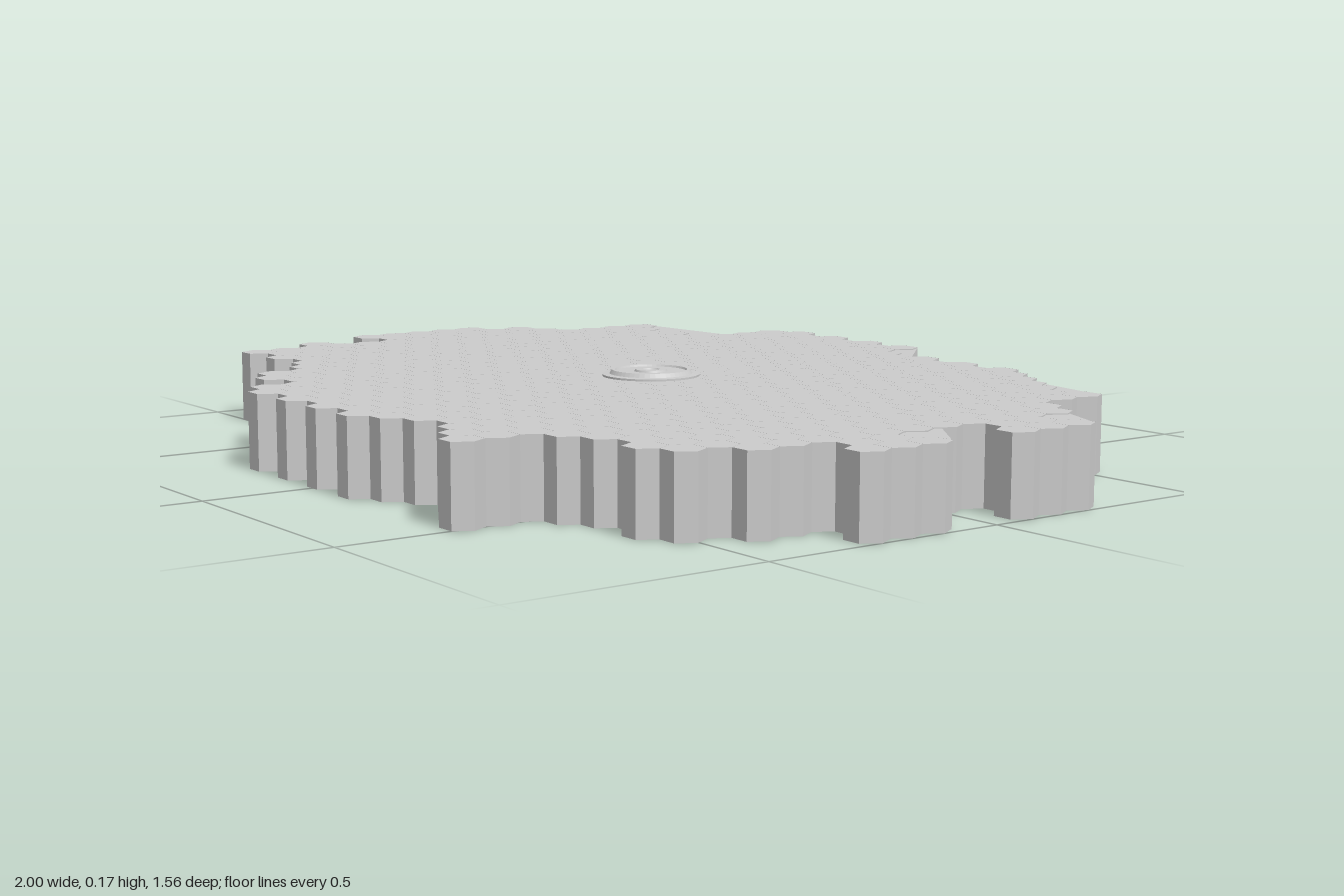
import * as THREE from 'three';
import { mergeGeometries } from 'three/addons/utils/BufferGeometryUtils.js';

const S = 0.04;                       // hexagon side
const Q = S * Math.sqrt(3) / 2;       // half the height of a hexagon
const TOP = 0.152;                    // deck level

// First and last tile centre of each column (in half-rows), columns -16 to 16
const FIRST = [
  -4.5, -7.5, -8.5, -15.5, -14.5, -13.5, -14.5, -13.5, -20.5, -21.5, -20.5,
  -21.5, -20.5, -21.5, -20.5, -21.5, -18.5, -17.5, -18.5, -17.5, -18.5, -17.5,
  -18.5, -17.5, -16.5, -15.5, -14.5, -13.5, -14.5, -9.5, -8.5, -5.5, -6.5];
const LAST = [
  3.5, 8.5, 13.5, 12.5, 13.5, 12.5, 13.5, 14.5, 17.5, 18.5, 17.5,
  20.5, 21.5, 20.5, 21.5, 20.5, 21.5, 20.5, 21.5, 20.5, 19.5, 18.5,
  19.5, 20.5, 21.5, 16.5, 15.5, 14.5, 15.5, 14.5, 11.5, 6.5, 7.5];
// Notches in the outer columns: [column, from, to]
const NOTCHES = [[-15, 3, 8], [15, -3, 4], [16, -2, 3]];

// Flat webs that bridge concave stretches of the rim, as x, z corners
const WEBS = [
  [[-0.8, -0.572], [-0.5, -0.6], [-0.5, -0.45], [-0.76, -0.45]],
  [[-0.04, -0.779], [0.08, -0.65], [-0.04, -0.58]],
  [[0.52, -0.572], [0.74, -0.537], [0.72, -0.44], [0.52, -0.44]],
  [[0.82, -0.329], [0.98, -0.26], [0.92, -0.19], [0.82, -0.25]],
  [[0.86, 0], [0.98, 0.087], [0.94, 0.13], [0.86, 0.17]],
  [[-0.94, 0.294], [-0.87, 0.2], [-0.84, 0.29]],
];

function listCells() {
  const cells = new Map();
  FIRST.forEach((first, i) => {
    const col = i - 16;
    for (let u = first; u <= LAST[i]; u += 2) {
      if (NOTCHES.some(([c, a, b]) => c === col && u > a && u < b)) continue;
      cells.set(`${col},${u}`, [col, u]);
    }
  });
  return cells;
}

// Thin hexagonal slabs laid edge to edge
function tileGeometry(cells) {
  const h = 0.006;
  const tile = new THREE.CylinderGeometry(S * 0.99, S * 0.99, h, 6).toNonIndexed();
  tile.rotateY(Math.PI / 2);
  tile.computeVertexNormals();
  return mergeGeometries([...cells.values()].map(([c, u]) =>
    tile.clone().translate(c * 1.5 * S, TOP - h / 2, u * Q)));
}

// Vertical panel on every tile edge without a neighbour
function skirtGeometry(cells) {
  const neighbours = [[1, 1], [0, 2], [-1, 1], [-1, -1], [0, -2], [1, -1]];
  const pos = [];
  for (const [c, u] of cells.values()) {
    neighbours.forEach(([dc, du], k) => {
      if (cells.has(`${c + dc},${u + du}`)) return;
      const corner = (n, y) => [
        c * 1.5 * S + S * Math.cos(n * Math.PI / 3), y,
        u * Q + S * Math.sin(n * Math.PI / 3)];
      const a0 = corner(k, 0), a1 = corner(k, TOP);
      const b0 = corner(k + 1, 0), b1 = corner(k + 1, TOP);
      pos.push(...a0, ...a1, ...b1, ...a0, ...b1, ...b0);
    });
  }
  const geo = new THREE.BufferGeometry();
  geo.setAttribute('position', new THREE.Float32BufferAttribute(pos, 3));
  geo.computeVertexNormals();
  return geo;
}

export function createModel() {
  const group = new THREE.Group();
  const material = new THREE.MeshStandardMaterial({
    color: 0xcccccc, flatShading: true, side: THREE.DoubleSide });
  const add = (name, geometry) => {
    const mesh = new THREE.Mesh(geometry, material);
    mesh.name = name;
    group.add(mesh);
    return mesh;
  };

  const cells = listCells();
  add('deckTiles', tileGeometry(cells));
  add('rimSkirt', skirtGeometry(cells));

  // Webs sit just below the tile tops
  for (const corners of WEBS) {
    const shape = new THREE.Shape(corners.map(([x, z]) => new THREE.Vector2(x, z)));
    const web = add('rimWeb', new THREE.ShapeGeometry(shape).rotateX(Math.PI / 2));
    web.position.y = TOP - 0.002;
  }

  // Round stepped medallion with a small ringed boss in the middle
  const profile = [
    [0.1, TOP - 0.004], [0.1, 0.156], [0.085, 0.157], [0.08, 0.165], [0.074, 0.165],
    [0.072, 0.161], [0.034, 0.161], [0.032, 0.165], [0.018, 0.165],
    [0.016, 0.162], [0, 0.162]];
  add('centreMedallion', new THREE.LatheGeometry(
    profile.map(([r, y]) => new THREE.Vector2(r, y)), 48));

  return group;
}
